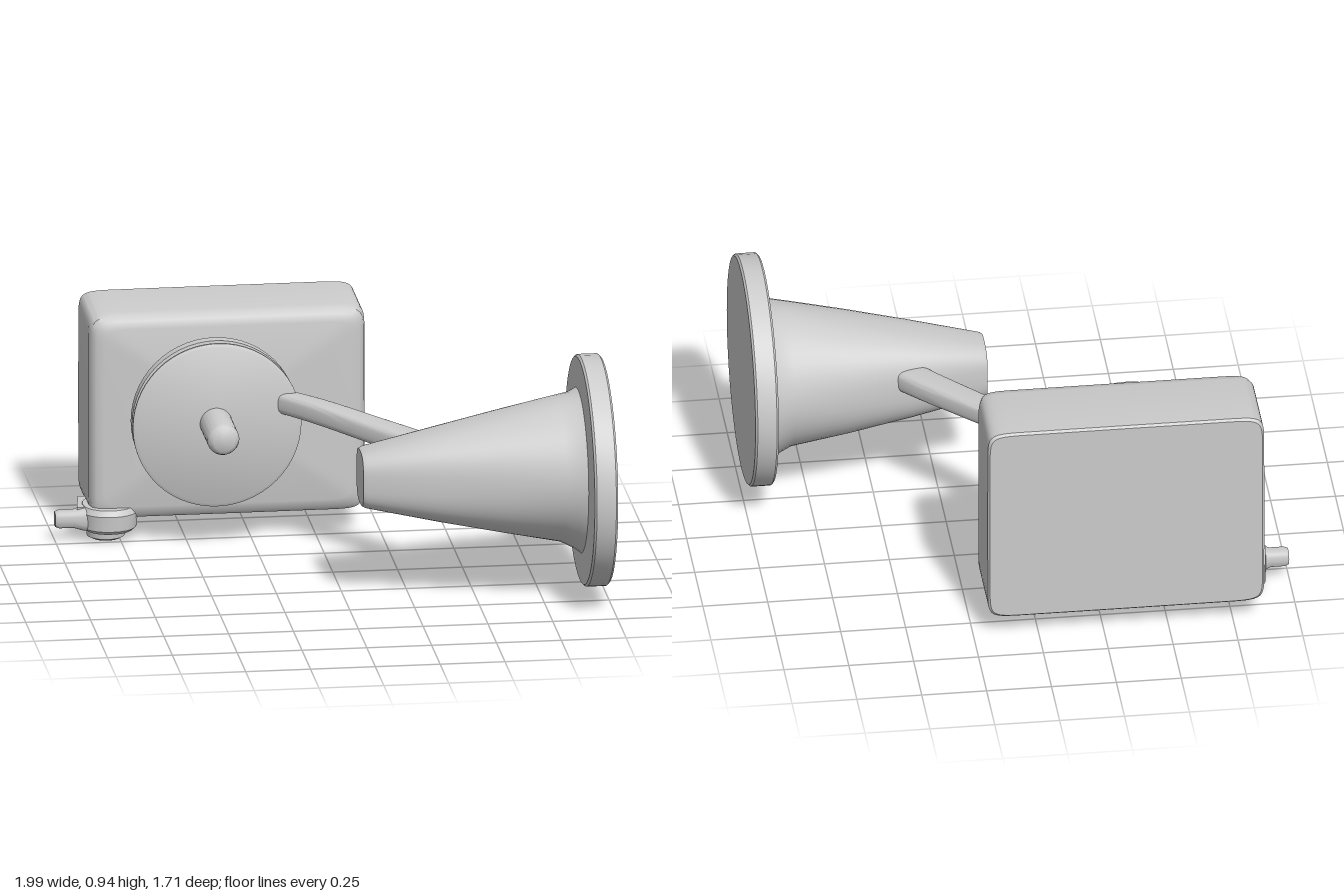
import * as THREE from 'three';
import { toCreasedNormals } from 'three/addons/utils/BufferGeometryUtils.js';

const material = new THREE.MeshStandardMaterial({ color: 0xcccccc });

function add(group, name, geometry, crease = 0.6) {
  const mesh = new THREE.Mesh(toCreasedNormals(geometry, crease), material);
  mesh.name = name;
  group.add(mesh);
  return mesh;
}

// Closed ring around centre c in the plane of u and v; n = 2 is an ellipse, larger n is squarer
function ring(c, u, v, a, b, n = 2, count = 48) {
  const pow = (t) => Math.sign(t) * Math.abs(t) ** (2 / n);
  return Array.from({ length: count }, (_, i) => {
    const t = (i / count) * Math.PI * 2;
    return new THREE.Vector3(...c).addScaledVector(u, a * pow(Math.cos(t))).addScaledVector(v, b * pow(Math.sin(t)));
  });
}

// Skin through rings, with a fan closing each end
function loft(rings) {
  const count = rings[0].length;
  const points = rings.flat();
  const index = [];
  for (let r = 0; r < rings.length - 1; r++) {
    for (let i = 0; i < count; i++) {
      const j = (i + 1) % count;
      const a = r * count + i, b = r * count + j, c = a + count, d = b + count;
      index.push(a, b, d, a, d, c);
    }
  }
  const middle = (pts) => pts.reduce((s, p) => s.add(p), new THREE.Vector3()).divideScalar(count);
  const first = points.length, last = first + 1, base = (rings.length - 1) * count;
  points.push(middle(rings[0]), middle(rings[rings.length - 1]));
  for (let i = 0; i < count; i++) {
    const j = (i + 1) % count;
    index.push(first, j, i, last, base + i, base + j);
  }
  const g = new THREE.BufferGeometry().setFromPoints(points);
  g.setIndex(index);
  return g;
}

// Turned solid facing +z, from [radius, z] pairs listed back to front
function turned(profile, x, y) {
  const g = new THREE.LatheGeometry(profile.map(([r, z]) => new THREE.Vector2(r, z)), 56);
  return g.rotateX(Math.PI / 2).translate(x, y, 0);
}

export function createModel() {
  const model = new THREE.Group();
  model.name = 'hornPlayer';
  const X = new THREE.Vector3(1, 0, 0), Y = new THREE.Vector3(0, 1, 0), Z = new THREE.Vector3(0, 0, 1);

  // Cabinet: crisp back, softened front edge
  const cabinet = [[-0.86, 0.008], [-0.85, 0], [-0.56, 0], [-0.525, 0.008], [-0.508, 0.025], [-0.5, 0.055]];
  add(model, 'cabinet', loft(cabinet.map(([z, inset]) =>
    ring([-0.337, 0.5, z], X, Y, 0.533 - inset, 0.41 - inset, 18))));

  // Turntable base, thin disc and centre peg
  add(model, 'turntableBase', turned(
    [[0, -0.52], [0.3, -0.52], [0.3, -0.485], [0.322, -0.475], [0.322, -0.43], [0.29, -0.425], [0.28, -0.39], [0, -0.39]], -0.395, 0.497));
  add(model, 'disc', turned(
    [[0, -0.402], [0.312, -0.402], [0.325, -0.395], [0.325, -0.385], [0.312, -0.378], [0, -0.378]], -0.395, 0.495));
  add(model, 'centrePeg', turned(
    [[0, -0.39], [0.062, -0.39], [0.062, -0.17], [0.055, -0.15], [0.04, -0.14], [0, -0.138]], -0.4, 0.503), 0.9);

  // Horn: [x, y, z, half height, half depth, squareness]
  const horn = [
    [0.06, 0.49, 0.345, 0.105, 0.105, 3.2], [0.075, 0.49, 0.345, 0.112, 0.112, 3.2],
    [0.35, 0.492, 0.35, 0.175, 0.172, 2.7], [0.6, 0.496, 0.354, 0.232, 0.228, 2.3],
    [0.82, 0.5, 0.358, 0.282, 0.275, 2], [0.87, 0.492, 0.357, 0.3, 0.29, 2], [0.91, 0.487, 0.356, 0.325, 0.315, 2],
  ];
  add(model, 'horn', loft(horn.map(([x, y, z, a, b, n]) => ring([x, y, z], Y, Z, a, b, n))));

  // Wide rim closing the mouth of the horn
  const rim = [[0.9, 0.437], [0.908, 0.445], [0.982, 0.445], [0.99, 0.437]];
  add(model, 'hornRim', loft(rim.map(([x, r]) => ring([x, 0.5, 0.4], Y, Z, r, r + 0.008))));

  // Arm: bowed bar widening from the disc to the horn
  const path = new THREE.CatmullRomCurve3([
    new THREE.Vector3(-0.14, 0.57, -0.42), new THREE.Vector3(-0.02, 0.57, -0.27),
    new THREE.Vector3(0.17, 0.555, -0.04), new THREE.Vector3(0.34, 0.54, 0.17), new THREE.Vector3(0.4, 0.53, 0.27),
  ]);
  const arm = [];
  for (let i = 0; i <= 16; i++) {
    const t = i / 16;
    const d = path.getTangent(t).setY(0).normalize();
    const side = d.clone().cross(Y);
    arm.push(ring(path.getPoint(t).toArray(), Y, side, 0.042 + 0.005 * t, 0.042 + 0.026 * t, 3.5, 32));
  }
  add(model, 'arm', loft(arm));

  // Winding crank at the lower corner: hub, knob beneath and handle
  const crank = new THREE.Group();
  crank.name = 'crank';
  model.add(crank);
  const hub = [[0.045, 0.1], [0.06, 0.118], [0.12, 0.122], [0.142, 0.108]];
  add(crank, 'crankHub', loft(hub.map(([y, r]) => ring([-0.79, y, -0.575], Z, X, r, r * 0.92, 2.2, 24))));
  const knob = [[0.008, 0.055], [0.018, 0.073], [0.05, 0.076]];
  add(crank, 'crankKnob', loft(knob.map(([y, r]) => ring([-0.8, y, -0.575], Z, X, r, r, 2, 24))));
  const handle = [[-1, 0.028], [-0.985, 0.034], [-0.93, 0.034], [-0.89, 0.05], [-0.8, 0.06]];
  add(crank, 'crankHandle', loft(handle.map(([x, r]) => ring([x, 0.093, -0.55], Y, Z, Math.min(r, 0.045), r, 3, 24))));

  // Small lug bracing the crank against the cabinet side
  add(crank, 'crankLug', new THREE.BoxGeometry(0.04, 0.08, 0.15).rotateY(-0.15).translate(-0.885, 0.1, -0.61));
  return model;
}
